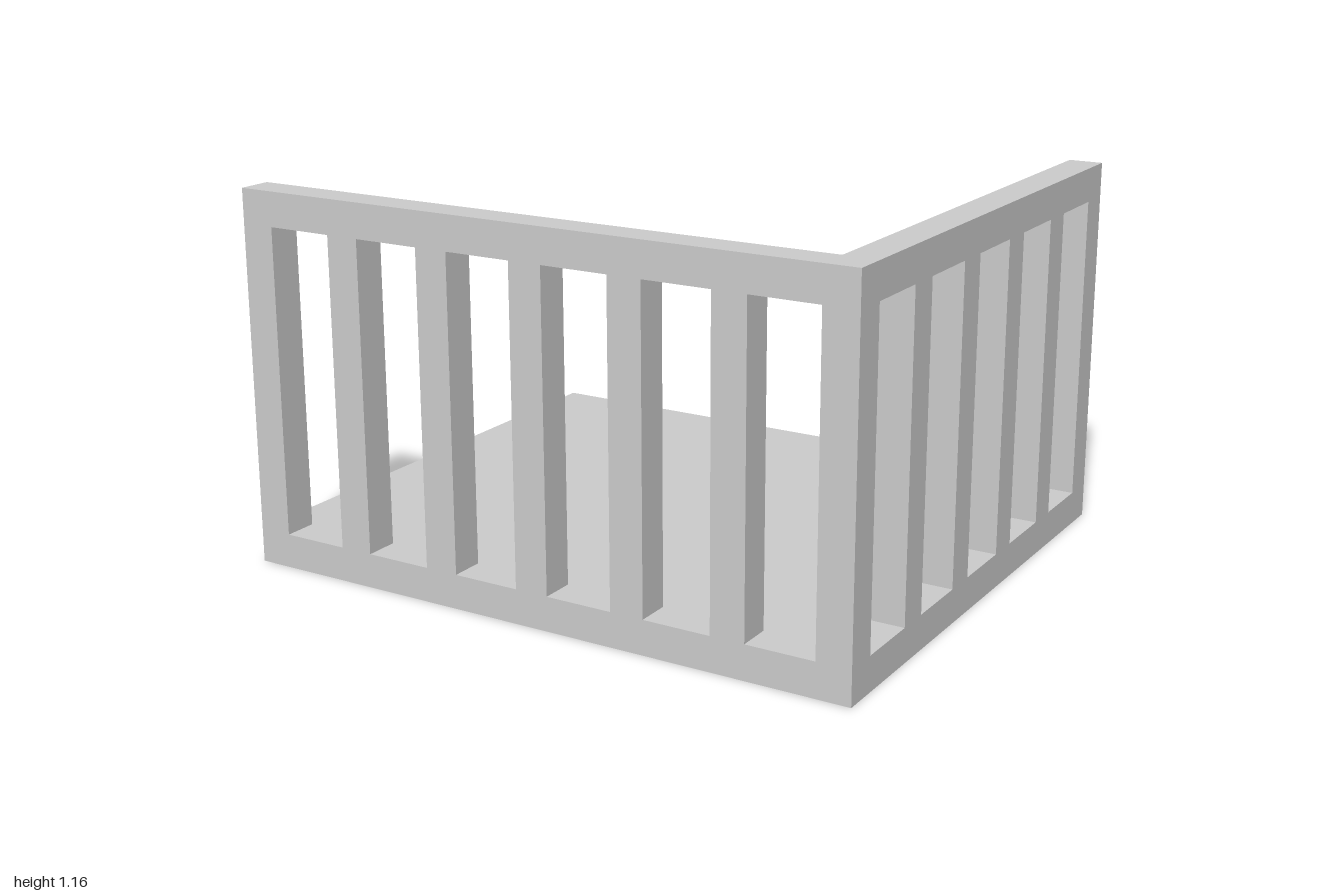
import * as THREE from 'three';

// Everything sits on a square module: bars are 1 unit thick, gaps are 2 units
const U = 2 / 19;
const W = 19, H = 11, D = 16;

export function createModel() {
  const model = new THREE.Group();
  model.name = 'railedPlatform';
  const material = new THREE.MeshStandardMaterial({ color: 0xcccccc, flatShading: true });

  // Box given by its low corner and size in units (corner at back, -x, ground)
  const block = (name, parent, x, y, z, w, h, d) => {
    const mesh = new THREE.Mesh(new THREE.BoxGeometry(w * U, h * U, d * U), material);
    mesh.position.set((x + w / 2 - W / 2) * U, (y + h / 2) * U, (z + d / 2 - D / 2) * U);
    mesh.name = name;
    parent.add(mesh);
  };

  // Floor slab
  block('floor', model, 0, 0, 0, W, 1, D);

  // Front railing, including the shared corner post
  const front = new THREE.Group();
  front.name = 'frontRailing';
  block('frontTopRail', front, 0, H - 1, D - 1, W, 1, 1);
  for (let x = 0; x < W; x += 3) block('frontPost', front, x, 1, D - 1, 1, H - 2, 1);

  // Left railing, ending against the corner post
  const left = new THREE.Group();
  left.name = 'leftRailing';
  block('leftTopRail', left, W - 1, H - 1, 0, 1, 1, D - 1);
  for (let z = 0; z < D - 1; z += 3) block('leftPost', left, W - 1, 1, z, 1, H - 2, 1);

  model.add(front, left);
  return model;
}
